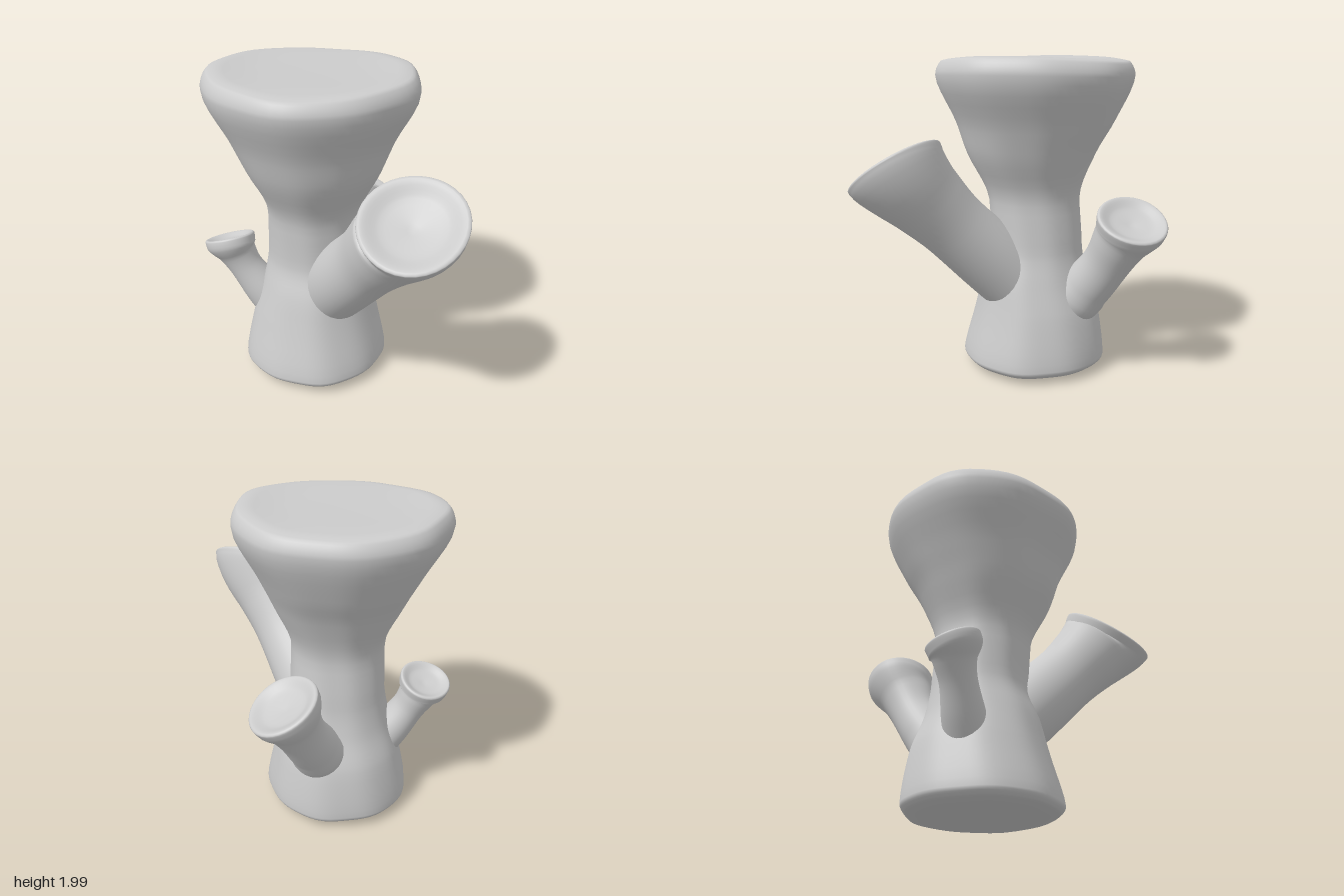
import * as THREE from 'three';
import { mergeVertices } from 'three/addons/utils/BufferGeometryUtils.js';

const material = new THREE.MeshStandardMaterial({ color: 0xcccccc });

// Skin smoothly interpolated rings; each key is [centre, ring normal, radius x, radius z].
// bump(angle, y) scales the radius to give the bark its uneven surface.
function loft(name, keys, bump, around = 48, steps = 5) {
  const curve = (pick) => new THREE.CatmullRomCurve3(keys.map(pick));
  const centres = curve((k) => new THREE.Vector3(...k[0]));
  const normals = curve((k) => new THREE.Vector3(...k[1]).normalize());
  const radii = curve((k) => new THREE.Vector3(k[2], k[3], 0));
  const rows = (keys.length - 1) * steps;
  const position = [], index = [];
  for (let i = 0; i <= rows; i++) {
    const t = i / rows;
    const c = centres.getPoint(t), n = normals.getPoint(t).normalize(), r = radii.getPoint(t);
    const u = new THREE.Vector3(1, 0, 0).addScaledVector(n, -n.x).normalize();
    const v = new THREE.Vector3().crossVectors(u, n);
    for (let j = 0; j < around; j++) {
      const a = (j / around) * Math.PI * 2;
      const s = bump(a, c.y);
      const p = c.clone()
        .addScaledVector(u, Math.max(r.x, 0) * s * Math.cos(a))
        .addScaledVector(v, -Math.max(r.y, 0) * s * Math.sin(a));
      position.push(p.x, p.y, p.z);
      if (i < rows) {
        const k = (j + 1) % around, b = i * around, d = b + around;
        index.push(b + j, d + j, b + k, b + k, d + j, d + k);
      }
    }
  }
  // v points to -z for an upright ring, so -v keeps angle 90 degrees at the front
  for (let i = 0; i < index.length; i += 3) {
    [index[i + 1], index[i + 2]] = [index[i + 2], index[i + 1]];
  }
  let g = new THREE.BufferGeometry();
  g.setAttribute('position', new THREE.Float32BufferAttribute(position, 3));
  g.setIndex(index);
  g = mergeVertices(g, 1e-4);
  g.computeVertexNormals();
  // Wind outward whatever the frame's handedness
  const q = g.attributes.position, ix = g.index;
  let volume = 0;
  const A = new THREE.Vector3(), B = new THREE.Vector3(), C = new THREE.Vector3();
  for (let i = 0; i < ix.count; i += 3) {
    A.fromBufferAttribute(q, ix.getX(i));
    B.fromBufferAttribute(q, ix.getX(i + 1));
    C.fromBufferAttribute(q, ix.getX(i + 2));
    volume += A.dot(B.cross(C));
  }
  if (volume < 0) {
    for (let i = 0; i < ix.count; i += 3) {
      const s = ix.getX(i + 1);
      ix.setX(i + 1, ix.getX(i + 2));
      ix.setX(i + 2, s);
    }
    g.computeVertexNormals();
  }
  const mesh = new THREE.Mesh(g, material);
  mesh.name = name;
  return mesh;
}

// A limb through the given [centre, radius] points, ending in a dished, tilted cut.
function limb(name, path, mouth, normal, radius, dish) {
  const n = new THREE.Vector3(...normal).normalize();
  const at = (d) => new THREE.Vector3(...mouth).addScaledVector(n, d).toArray();
  const end = new THREE.Vector3(...mouth);
  const keys = path.map(([p, r], i) => {
    const next = i + 1 < path.length ? new THREE.Vector3(...path[i + 1][0]) : end;
    const dir = next.clone().sub(new THREE.Vector3(...p)).normalize();
    return [p, dir.toArray(), r, r];
  });
  keys.push(
    [at(-0.05), normal, radius * 0.97, radius * 0.97],
    [at(0), normal, radius, radius],
    [at(0.012), normal, radius * 0.93, radius * 0.93],
    [at(-dish * 0.5), normal, radius * 0.6, radius * 0.6],
    [at(-dish), normal, 0, 0],
  );
  return loft(name, keys, (a) => 1 + 0.012 * Math.sin(3 * a + radius * 20), 36);
}

export function createModel() {
  const model = new THREE.Group();
  model.name = 'treeStump';

  // Trunk: flared foot, narrow waist, wide flat top; rows are y, x, z, radius x, radius z
  const rings = [
    [0.005, -0.155, 0, 0, 0],
    [0.015, -0.155, 0, 0.25, 0.25],
    [0.045, -0.155, 0, 0.43, 0.43],
    [0.09, -0.155, 0, 0.462, 0.46],
    [0.4, -0.155, -0.02, 0.4, 0.4],
    [0.6, -0.145, -0.01, 0.345, 0.34],
    [0.8, -0.15, -0.02, 0.3, 0.29],
    [1.1, -0.145, 0, 0.29, 0.29],
    [1.4, -0.145, 0.02, 0.41, 0.41],
    [1.6, -0.155, 0, 0.5, 0.5],
    [1.88, -0.155, 0, 0.635, 0.615],
    [1.965, -0.155, 0, 0.595, 0.58],
    [1.978, -0.155, 0, 0.5, 0.49],
    [1.97, -0.155, 0, 0, 0],
  ];
  const trunk = loft('trunk', rings.map(([y, x, z, rx, rz]) => [[x, y, z], [0, 1, 0], rx, rz]),
    (a, y) => 1 + 0.012 * Math.sin(5 * a + 1 + y) + 0.008 * Math.sin(9 * a + 2 * y), 64);

  // Uneven rim on the top cut
  const p = trunk.geometry.attributes.position;
  for (let i = 0; i < p.count; i++) {
    const x = p.getX(i) + 0.155, z = p.getZ(i), y = p.getY(i);
    const k = THREE.MathUtils.smoothstep(y, 1.8, 1.95) * THREE.MathUtils.smoothstep(Math.hypot(x, z), 0.35, 0.58);
    p.setY(i, y + k * 0.014 * Math.cos(2 * Math.atan2(z, x)) + k * 0.01);
  }
  trunk.geometry.computeVertexNormals();
  model.add(trunk);

  // Large front limb and two smaller ones
  model.add(limb('frontLimb', [
    [[-0.06, 0.52, 0.04], 0.22],
    [[0.08, 0.73, 0.19], 0.225],
    [[0.26, 0.97, 0.36], 0.215],
    [[0.41, 1.18, 0.5], 0.245],
  ], [0.53, 1.365, 0.615], [-0.04, 0.83, 0.56], 0.303, 0.07));

  model.add(limb('backLimb', [
    [[-0.11, 0.4, -0.22], 0.16],
    [[-0.08, 0.57, -0.37], 0.16],
    [[-0.04, 0.75, -0.51], 0.148],
    [[0, 0.92, -0.61], 0.172],
  ], [0.025, 1.045, -0.685], [0.38, 0.86, -0.3], 0.215, 0.04));

  model.add(limb('sideLimb', [
    [[-0.38, 0.36, 0.03], 0.14],
    [[-0.5, 0.52, 0.045], 0.125],
    [[-0.6, 0.67, 0.06], 0.107],
    [[-0.66, 0.78, 0.065], 0.125],
  ], [-0.695, 0.868, 0.07], [-0.25, 0.92, -0.25], 0.16, 0.03));

  return model;
}
